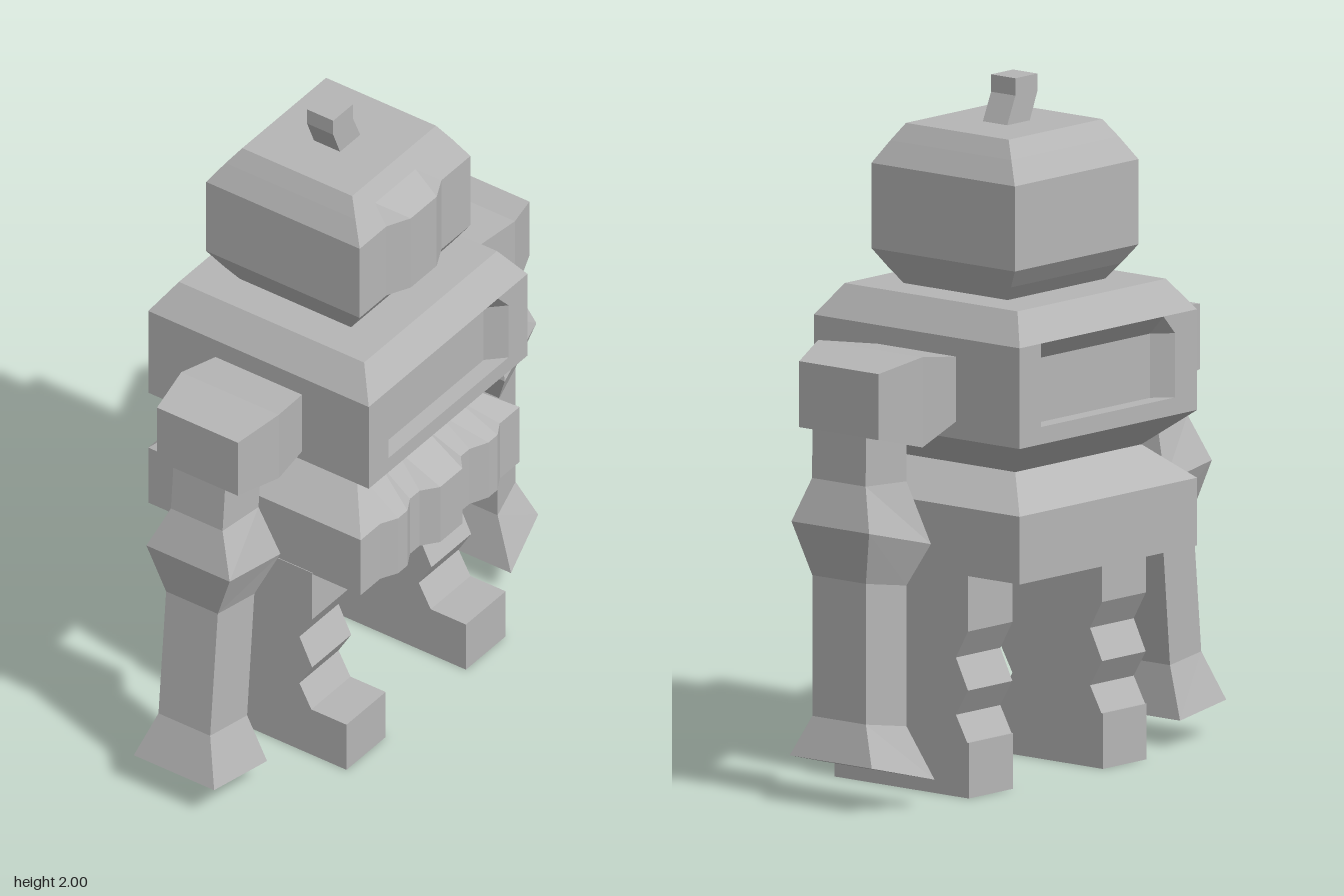
import * as THREE from 'three';

const grey = new THREE.MeshStandardMaterial({ color: 0xb6b6b6 });
grey.name = 'plain grey';

// Flat-shaded solid through a list of rings with equal point counts, capped at both ends
function loft(name, rings) {
  const tris = [];
  const centre = (r) => r.reduce((s, p) => s.add(p), new THREE.Vector3()).divideScalar(r.length);
  const n = rings[0].length;
  const first = rings[0], last = rings[rings.length - 1];
  const c0 = centre(first), c1 = centre(last);
  for (let i = 0; i < n; i++) {
    const j = (i + 1) % n;
    for (let k = 0; k + 1 < rings.length; k++) {
      const a = rings[k], b = rings[k + 1];
      tris.push([a[i], b[i], b[j]], [a[i], b[j], a[j]]);
    }
    tris.push([c0, first[i], first[j]], [c1, last[j], last[i]]);
  }
  // Turn every face outward if the rings ran the other way
  let volume = 0;
  const cross = new THREE.Vector3();
  for (const [a, b, c] of tris) volume += a.dot(cross.crossVectors(b, c));
  const points = [];
  for (const [a, b, c] of tris) {
    const area = cross.crossVectors(b.clone().sub(a), c.clone().sub(a)).length();
    if (area < 1e-7) continue;
    points.push(...(volume > 0 ? [a, b, c] : [a, c, b]));
  }
  const geometry = new THREE.BufferGeometry().setFromPoints(points);
  geometry.computeVertexNormals();
  const mesh = new THREE.Mesh(geometry, grey);
  mesh.name = name;
  return mesh;
}

// Horizontal rectangle; bumps [z, dx] shift points of the +x side (and mirrored on -x if both)
function ring(y, x0, x1, z0, z1, bumps = [], both = false) {
  const v = (x, z) => new THREE.Vector3(x, y, z);
  const r = [v(x1, z0), ...bumps.map(([z, d]) => v(x1 + d, z)), v(x1, z1), v(x0, z1)];
  if (both) r.push(...[...bumps].reverse().map(([z, d]) => v(x0 - d, z)));
  r.push(v(x0, z0));
  return r;
}

// Upright rectangle, used for the shoulders
const upright = (z, x0, x1, y0, y1) =>
  [[x0, y0], [x1, y0], [x1, y1], [x0, y1]].map(([x, y]) => new THREE.Vector3(x, y, z));

// Sloping arm section: inner and outer edges have their own z, y and half width
function armRing([zi, yi, wi, zo, yo, wo]) {
  const cx = -0.005;
  return [[cx - wi, yi, zi], [cx + wi, yi, zi], [cx + wo, yo, zo], [cx - wo, yo, zo]]
    .map((p) => new THREE.Vector3(...p));
}

function createHead() {
  const head = new THREE.Group();
  head.name = 'head';
  // Bevelled box with a chamfered face plate bulging from its +x side
  const face = (d) => [[-0.15, 0], [-0.08, d], [0.045, d], [0.115, 0]];
  head.add(loft('skull', [
    ring(1.405, -0.195, 0.185, -0.23, 0.185, face(0)),
    ring(1.455, -0.235, 0.222, -0.26, 0.215, face(0)),
    ring(1.51, -0.275, 0.26, -0.29, 0.245, face(0.034)),
    ring(1.755, -0.275, 0.26, -0.29, 0.245, face(0.034)),
    ring(1.82, -0.232, 0.22, -0.255, 0.21, face(0)),
    ring(1.87, -0.196, 0.187, -0.225, 0.18, face(0)),
  ]));
  head.add(loft('antenna', [
    ring(1.86, -0.053, 0.038, -0.07, 0.028),
    ring(1.95, -0.053, 0.038, -0.03, 0.065),
    ring(2.0, -0.053, 0.038, -0.03, 0.065),
  ]));
  return head;
}

function createTorso() {
  // Recessed panels in the +x and -x sides
  const panel = (d) => [[-0.31, 0], [-0.26, -d], [0.22, -d], [0.27, 0]];
  const full = (y, d) => ring(y, -0.39, 0.378, -0.402, 0.365, panel(d), true);
  const narrow = panel(0).map(([z, d]) => [z * 0.8, d]);
  return loft('torso', [
    ring(0.93, -0.272, 0.258, -0.285, 0.255, narrow, true),
    full(1.03, 0), full(1.08, 0), full(1.08, 0.05), full(1.265, 0.05), full(1.32, 0),
    ring(1.41, -0.33, 0.315, -0.342, 0.3, panel(0), true),
  ]);
}

function createSkirt() {
  // Three pleats on the +x side, the middle one the deepest
  const pleats = [
    [-0.307, 0], [-0.26, 0.026], [-0.217, 0.026], [-0.16, 0], [-0.118, 0], [-0.075, 0.037],
    [0.032, 0.037], [0.08, 0], [0.127, 0], [0.175, 0.026], [0.22, 0.026], [0.27, 0],
  ];
  const waist = pleats.map(([z]) => [z * 0.85, 0]);
  return loft('skirt', [
    ring(0.64, -0.39, 0.35, -0.402, 0.365, pleats),
    ring(0.835, -0.39, 0.35, -0.402, 0.365, pleats),
    ring(0.935, -0.272, 0.258, -0.285, 0.255, waist),
  ]);
}

function createLeg(name, z0, z1) {
  const leg = new THREE.Group();
  leg.name = name;
  const wide = (y) => ring(y, -0.197, 0.182, z0, z1);
  const thin = (y) => ring(y, -0.152, 0.138, z0, z1);
  leg.add(loft('shin', [wide(0.155), thin(0.235), wide(0.31), thin(0.4), wide(0.48), wide(0.645)]));
  leg.add(loft('foot', [ring(0, -0.2, 0.302, z0, z1), ring(0.16, -0.2, 0.302, z0, z1)]));
  return leg;
}

function createArm(name, shoulder, sections) {
  const arm = new THREE.Group();
  arm.name = name;
  arm.add(loft('shoulder', shoulder.map((s) => upright(...s))));
  arm.add(loft('forearm', sections.map(armRing)));
  return arm;
}

export function createModel() {
  const model = new THREE.Group();
  model.name = 'robot';
  model.add(createHead(), createTorso(), createSkirt());
  model.add(createLeg('nearLeg', 0.178, 0.367), createLeg('farLeg', -0.402, -0.21));

  // Arm on the +z side, swung slightly outward
  model.add(createArm('nearArm', [
    [0.36, -0.155, 0.145, 1.06, 1.26],
    [0.5, -0.178, 0.162, 1.055, 1.28],
    [0.656, -0.15, 0.132, 1.075, 1.263],
  ], [
    [0.502, 1.08, 0.107, 0.652, 1.09, 0.09],
    [0.515, 0.935, 0.107, 0.665, 0.935, 0.09],
    [0.485, 0.775, 0.162, 0.707, 0.805, 0.145],
    [0.535, 0.64, 0.107, 0.688, 0.655, 0.09],
    [0.57, 0.23, 0.107, 0.725, 0.245, 0.09],
    [0.55, 0.08, 0.162, 0.775, 0.105, 0.14],
  ]));

  // Arm on the -z side, hanging straight
  model.add(createArm('farArm', [
    [-0.395, -0.15, 0.138, 1.08, 1.265],
    [-0.602, -0.2, 0.19, 1.04, 1.3],
    [-0.738, -0.153, 0.143, 1.075, 1.265],
  ], [
    [-0.602, 1.06, 0.135, -0.736, 1.09, 0.1],
    [-0.602, 0.935, 0.135, -0.738, 0.935, 0.1],
    [-0.56, 0.755, 0.19, -0.775, 0.81, 0.145],
    [-0.602, 0.635, 0.135, -0.737, 0.655, 0.1],
    [-0.602, 0.23, 0.135, -0.737, 0.25, 0.1],
    [-0.565, 0.08, 0.208, -0.773, 0.135, 0.153],
  ]));
  return model;
}
